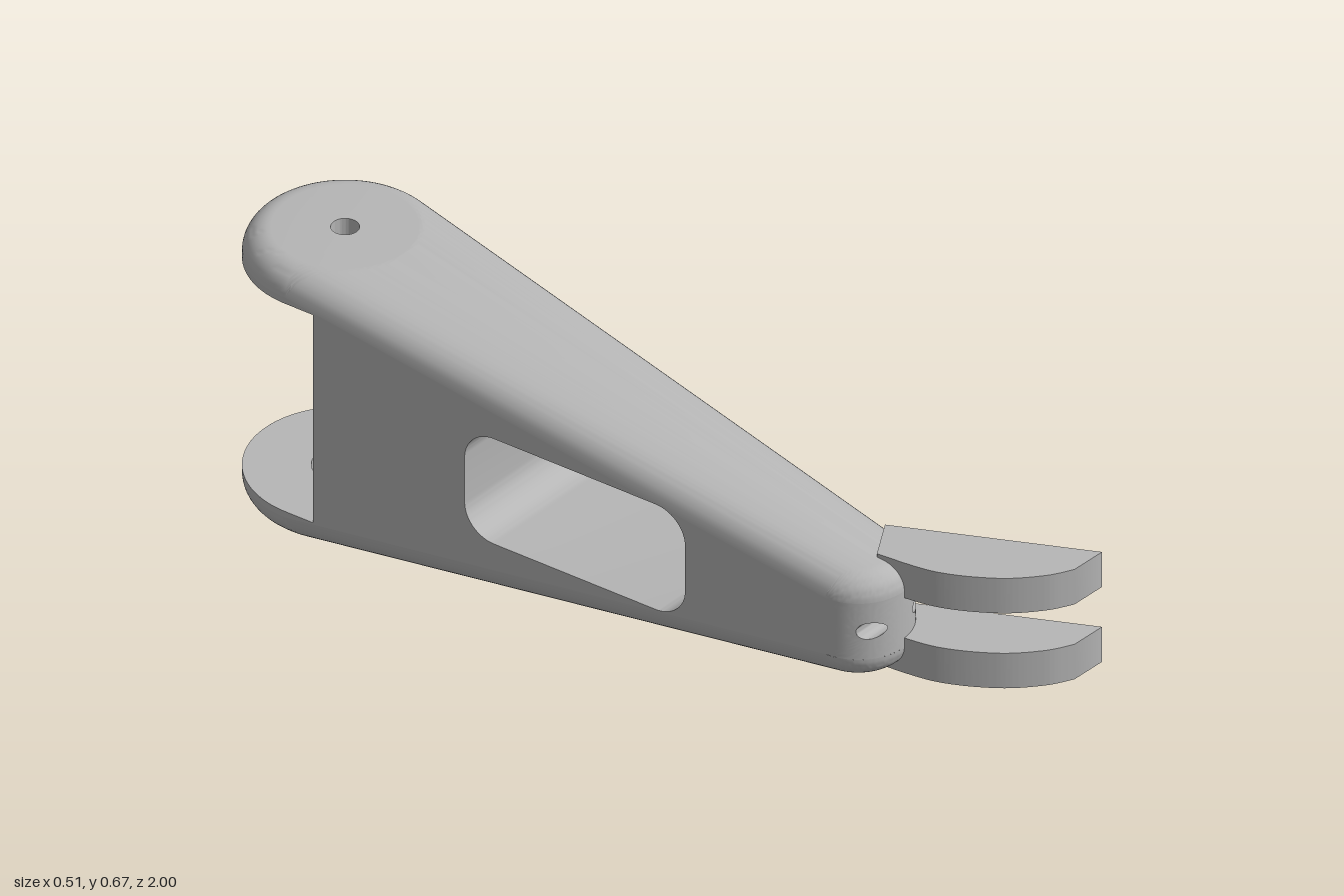
import * as THREE from 'three';
import { toCreasedNormals } from 'three/addons/utils/BufferGeometryUtils.js';

const V = (x, y, z) => new THREE.Vector3(x, y, z);
const CX = -0.044, H = 0.67;                  // arm axis and full height
const R = 0.2135, Z1 = -0.7865, Y1 = 0.61;    // large rounded disc at the back
const r = 0.119, Z2 = 0.592, Y2 = 0.405;      // small rounded disc at the front
const E = 0.06;                               // edge rounding
const IN = 0.595;                             // inner face of the upper fork plate
const TT = Math.acos((R - r) / (Z2 - Z1));    // angle where the flat sides begin
const CUT = -0.70;                            // where the side walls end
const wallX = z => (R - (z - Z1) * Math.cos(TT)) / Math.sin(TT);
const CUT_R = Math.hypot(wallX(CUT), CUT - Z1);
const CUT_A = Math.atan2(wallX(CUT), CUT - Z1);
const span = (a, b, n) => Array.from({ length: n + 1 }, (_, i) => a + (b - a) * i / n);

// Skin between neighbouring lines of points, skipping collapsed triangles
function loft(lines, closed = false) {
  const pos = [], n = lines.length, ab = V(), ac = V();
  const tri = (a, b, c) => {
    ab.subVectors(b, a); ac.subVectors(c, a);
    if (ab.cross(ac).length() > 1e-9) for (const p of [a, b, c]) pos.push(p.x, p.y, p.z);
  };
  for (let i = 0; i < (closed ? n : n - 1); i++) {
    const A = lines[i], B = lines[(i + 1) % n];
    for (let j = 0; j < A.length - 1; j++) {
      tri(A[j], B[j], B[j + 1]);
      tri(A[j], B[j + 1], A[j + 1]);
    }
  }
  const g = new THREE.BufferGeometry();
  g.setAttribute('position', new THREE.Float32BufferAttribute(pos, 3));
  return g;
}

// Point on a disc with a rounded edge: t around, p up the rounding
const discPoint = (rad, y, z, t, p) => {
  const q = rad - E + E * Math.cos(p);
  return V(CX + q * Math.sin(t), y + E * Math.sin(p), z + q * Math.cos(t));
};

// Tapering cover: the hull over both rounded discs, with a pin hole
function cover(holeR, holeY, flip) {
  const column = (t, front) => {
    const p0 = Math.max(0, Math.atan(((Z2 - Z1) * Math.cos(t) - (R - r)) / (Y1 - Y2)));
    const pts = span(0, p0, 10).map(p => front ? discPoint(r, Y2, Z2, t, p) : discPoint(R, Y1, Z1, t, 0));
    pts.push(...span(p0, Math.PI / 2, 10).map(p => discPoint(R, Y1, Z1, t, p)));
    for (const y of [H, holeY]) pts.push(V(CX + holeR * Math.sin(t), y, Z1 + holeR * Math.cos(t)));
    if (flip) for (const p of pts) p.y = H - p.y;
    return pts;
  };
  return loft([
    ...span(-TT, TT, 64).map(t => column(t, true)),
    ...span(TT, 2 * Math.PI - TT, 48).map(t => column(t, false)),
  ], true);
}

// Window outline in (z, y)
function windowShape() {
  const z0 = -0.315, z1 = 0.245, y0 = 0.205, y1 = 0.468, c = 0.075, s = new THREE.Path();
  s.absarc(z1 - c, y1 - c, c, 0, Math.PI / 2);
  s.absarc(z0 + c, y1 - c, c, Math.PI / 2, Math.PI);
  s.absarc(z0 + c, y0 + c, c, Math.PI, 1.5 * Math.PI);
  s.absarc(z1 - c, y0 + c, c, 1.5 * Math.PI, 2 * Math.PI);
  s.closePath();
  return s;
}

// Flat side wall with its window, bent to the taper
function sideWall(side) {
  const zf = Z2 + r * Math.cos(TT), zb = Z1 + R * Math.cos(TT);
  const s = new THREE.Shape([[zf, H - Y2], [zf, Y2], [zb, Y1], [zb, IN], [CUT, IN],
    [CUT, H - IN], [zb, H - IN], [zb, H - Y1]].map(p => new THREE.Vector2(...p)));
  s.holes.push(windowShape());
  const g = new THREE.ShapeGeometry(s, 10), p = g.attributes.position;
  for (let i = 0; i < p.count; i++) {
    const z = p.getX(i);
    p.setXYZ(i, CX + side * wallX(z), p.getY(i), z);
  }
  // keep triangles facing outward
  if (side > 0) {
    const ix = g.index.array;
    for (let i = 0; i < ix.length; i += 3) [ix[i], ix[i + 1]] = [ix[i + 1], ix[i]];
  }
  return g;
}

// Cross hole outline on the round nose, as (angle, height)
const noseHole = a => [Math.acos((0.684 - 0.02 * Math.cos(a) - Z2) / r), H / 2 + 0.02 * Math.sin(a)];
const nosePoint = (side, t, y) => V(CX + side * r * Math.sin(t), y, Z2 + r * Math.cos(t));

// Half of the round nose, spreading from the hole to the edges
function noseHalf(side) {
  return loft(span(0, 2 * Math.PI, 64).map(a => {
    const m = Math.max(Math.abs(Math.cos(a)), Math.abs(Math.sin(a)));
    const outer = [TT / 2 * (1 + Math.cos(a) / m), H / 2 + (Y2 - H / 2) * Math.sin(a) / m];
    const hole = noseHole(a);
    return span(0, 1, 8).map(k => nosePoint(side,
      hole[0] + (outer[0] - hole[0]) * k, hole[1] + (outer[1] - hole[1]) * k));
  }));
}

// Keyhole outline around the lower pin, in (x, -z)
function keyhole() {
  const w = 0.07, s = new THREE.Path(), end = Math.sqrt(CUT_R * CUT_R - w * w) - 0.006;
  s.absarc(CX, -Z1, w, 0, Math.PI);
  s.lineTo(CX - w, -Z1 - end);
  s.lineTo(CX + w, -Z1 - end);
  s.closePath();
  return s;
}
const roundHole = rad => new THREE.Path().absarc(CX, -Z1, rad, 0, 2 * Math.PI);

// Horizontal flat face at height y
const flat = (shape, y) => new THREE.ShapeGeometry(shape, 32).rotateX(-Math.PI / 2).translate(0, y, 0);

// Inner face of a fork plate
function plateFace(hole, y) {
  const pts = [...span(TT, 2 * Math.PI - TT, 64).map(t => [R, t]),
    ...span(-CUT_A, CUT_A, 40).map(t => [CUT_R, t])];
  const s = new THREE.Shape(pts.map(([q, t]) =>
    new THREE.Vector2(CX + q * Math.sin(t), -(Z1 + q * Math.cos(t)))));
  s.holes.push(hole);
  return flat(s, y);
}

// Curved prong, in (x, -z)
function prong(y) {
  const s = new THREE.Shape();
  s.moveTo(0.045, -0.59);
  s.lineTo(0.254, -1);
  s.lineTo(0.168, -0.997);
  s.splineThru([[0.11, -0.963], [0.04, -0.893], [-0.022, -0.78], [-0.048, -0.645]]
    .map(p => new THREE.Vector2(...p)));
  s.closePath();
  return new THREE.ExtrudeGeometry(s, { depth: 0.0875, bevelEnabled: false, curveSegments: 24 })
    .rotateX(-Math.PI / 2).translate(0, y, 0);
}

export function createModel() {
  const model = new THREE.Group();
  model.name = 'leverArm';
  const grey = new THREE.MeshStandardMaterial({ color: 0xb6b6b6, side: THREE.DoubleSide });
  grey.name = 'plainGrey';
  const add = (name, geo) => {
    const mesh = new THREE.Mesh(toCreasedNormals(geo, 0.5), grey);
    mesh.name = name;
    model.add(mesh);
  };
  const floorY = 0.04;

  // Arm skin
  add('topCover', cover(0.03, IN, false));
  add('bottomCover', cover(0.052, H - floorY, true));
  for (const [side, label] of [[1, 'left'], [-1, 'right']]) {
    add(label + 'Wall', sideWall(side));
    add(label + 'Nose', noseHalf(side));
  }

  // Openings through the arm
  const ring = windowShape().getPoints(10);
  add('windowTunnel', loft([-1, 1].map(s => ring.map(p => V(CX + s * wallX(p.x), p.y, p.x)))));
  add('crossHole', loft([-1, 1].map(s =>
    span(0, 2 * Math.PI, 32).map(a => nosePoint(s, ...noseHole(a))))));

  // Fork at the back
  const saddle = new THREE.CylinderGeometry(CUT_R, CUT_R, 2 * IN - H, 40, 1, true, -CUT_A, 2 * CUT_A);
  add('forkSaddle', saddle.translate(CX, H / 2, Z1));
  for (const [name, a, b] of [['upperRim', Y1, IN], ['lowerRim', H - IN, H - Y1]])
    add(name, loft([a, b].map(y => span(TT, 2 * Math.PI - TT, 48)
      .map(t => V(CX + R * Math.sin(t), y, Z1 + R * Math.cos(t))))));
  add('upperPlateFace', plateFace(roundHole(0.03), IN));
  add('lowerPlateFace', plateFace(keyhole(), H - IN));

  // Keyhole recess in the lower plate
  const key = keyhole().getPoints(24);
  add('recessSides', loft([H - IN, floorY].map(y => [...key, key[0]].map(p => V(p.x, y, -p.y)))));
  const floor = new THREE.Shape(key);
  floor.holes.push(roundHole(0.052));
  add('recessFloor', flat(floor, floorY));

  // Prongs at the front
  add('lowerProng', prong(0.2));
  add('upperProng', prong(0.3875));
  return model;
}
